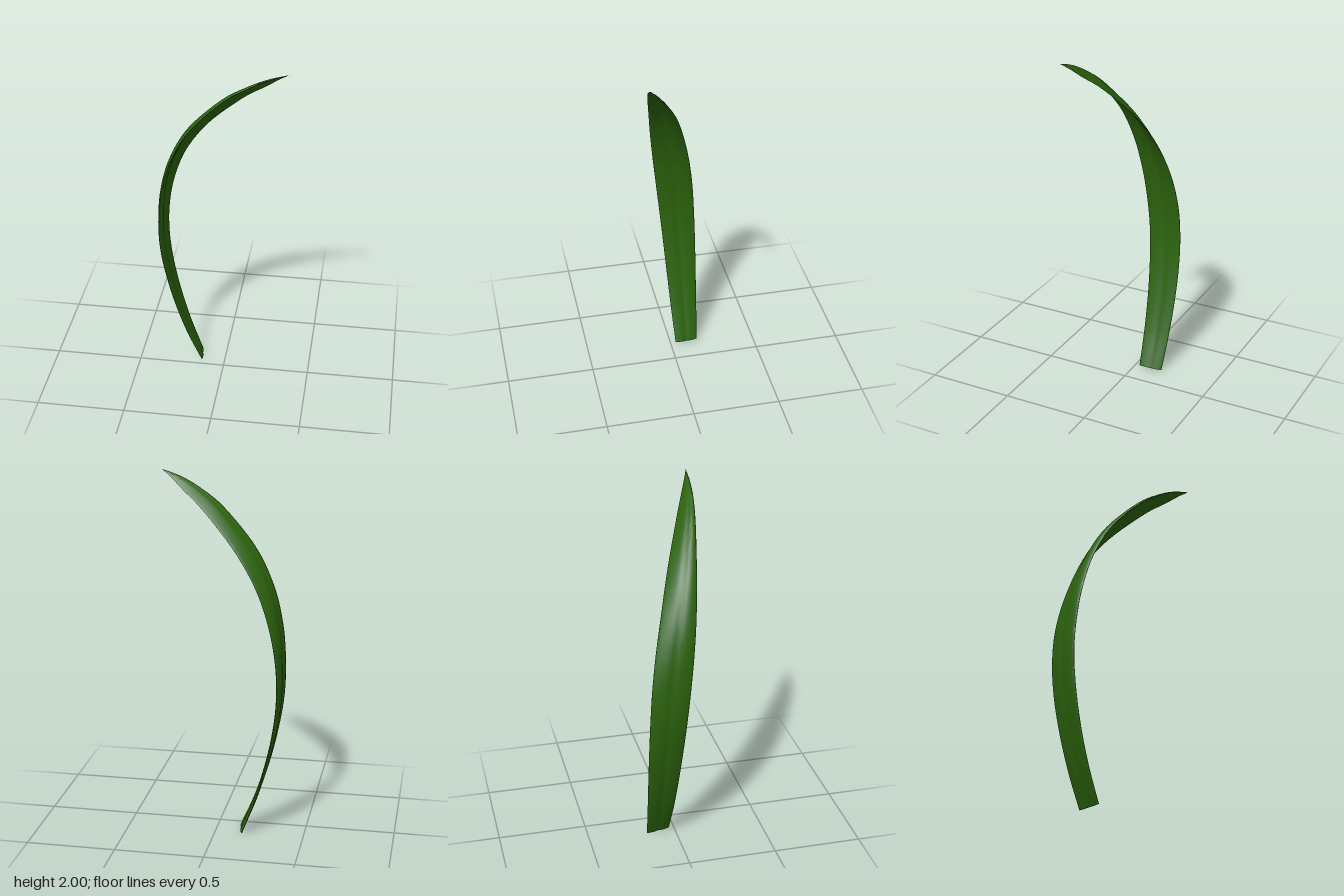
import * as THREE from 'three';
import { toCreasedNormals } from 'three/addons/utils/BufferGeometryUtils.js';

// Stations up the blade: y, x of front edge / midrib / back edge, z of front / back edge
const STATIONS = [
  [0.00, -0.134, -0.141, -0.152, -0.030, -0.165],
  [0.20, -0.214, -0.219, -0.223, -0.020, -0.176],
  [0.40, -0.279, -0.281, -0.280, -0.010, -0.184],
  [0.60, -0.327, -0.327, -0.322, 0.002, -0.188],
  [0.80, -0.357, -0.354, -0.343, 0.017, -0.185],
  [1.00, -0.358, -0.353, -0.335, 0.037, -0.172],
  [1.20, -0.334, -0.329, -0.293, 0.060, -0.142],
  [1.40, -0.277, -0.269, -0.214, 0.085, -0.093],
  [1.60, -0.170, -0.160, -0.080, 0.113, -0.026],
  [1.80, 0.010, 0.022, 0.112, 0.152, 0.068],
  [1.90, 0.146, 0.156, 0.236, 0.175, 0.127],
  [1.96, 0.256, 0.260, 0.308, 0.184, 0.162],
  [2.00, 0.363, 0.363, 0.363, 0.186, 0.186],
];

const line = (pick) => new THREE.CatmullRomCurve3(
  STATIONS.map((s) => new THREE.Vector3(...pick(s))), false, 'catmullrom', 0.5);

// Thin solid lofted along the front edge, midrib and back edge, pinched at the midrib
function bladeGeometry(rows = 96, cols = 48) {
  const front = line(([y, xf, , , zf]) => [xf, y, zf]);
  const rib = line(([y, , xm, , zf, zb]) => [xm, y, (zf + zb) / 2]);
  const back = line(([y, , , xb, , zb]) => [xb, y, zb]);
  const geo = new THREE.PlaneGeometry(1, 1, cols, rows + 1);
  const pos = geo.attributes.position;
  for (let r = 0; r <= rows + 1; r++) {
    // The first ring closes the base on its centre
    const t = Math.max(0, r - 1) / rows;
    const a = front.getPoint(t), b = rib.getPoint(t), c = back.getPoint(t);
    const tangent = rib.getTangent(t);
    const outward = new THREE.Vector3(-tangent.y, tangent.x, 0).normalize();
    const thickness = 0.06 * a.distanceTo(c);
    for (let i = 0; i <= cols; i++) {
      // Out along the outer face from front to back, then home along the inner face
      const angle = (i % cols) / cols * Math.PI * 2;
      const s = r === 0 ? 0.5 : (1 - Math.cos(angle)) / 2;
      const side = r === 0 ? 0 : Math.sin(angle);
      const pinch = 1 - 0.5 * Math.exp(-(((s - 0.5) / 0.1) ** 2));
      // Parabola through the three points across the blade
      const wa = (1 - s) * (1 - 2 * s), wb = 4 * s * (1 - s), wc = s * (2 * s - 1);
      const p = new THREE.Vector3().addScaledVector(a, wa).addScaledVector(b, wb).addScaledVector(c, wc);
      p.addScaledVector(outward, thickness * side * pinch);
      // Slanted cut at the base
      p.y += (0.004 + 0.008 * (1 - s)) * Math.max(0, 1 - t * 12);
      pos.setXYZ(r * (cols + 1) + i, p.x, p.y, p.z);
    }
  }
  return toCreasedNormals(geo, 1.2);
}

export function createModel() {
  const model = new THREE.Group();
  model.name = 'grassBlade';
  const material = new THREE.MeshStandardMaterial({ color: 0x2b620c });
  const blade = new THREE.Mesh(bladeGeometry(), material);
  blade.name = 'blade';
  model.add(blade);
  return model;
}
